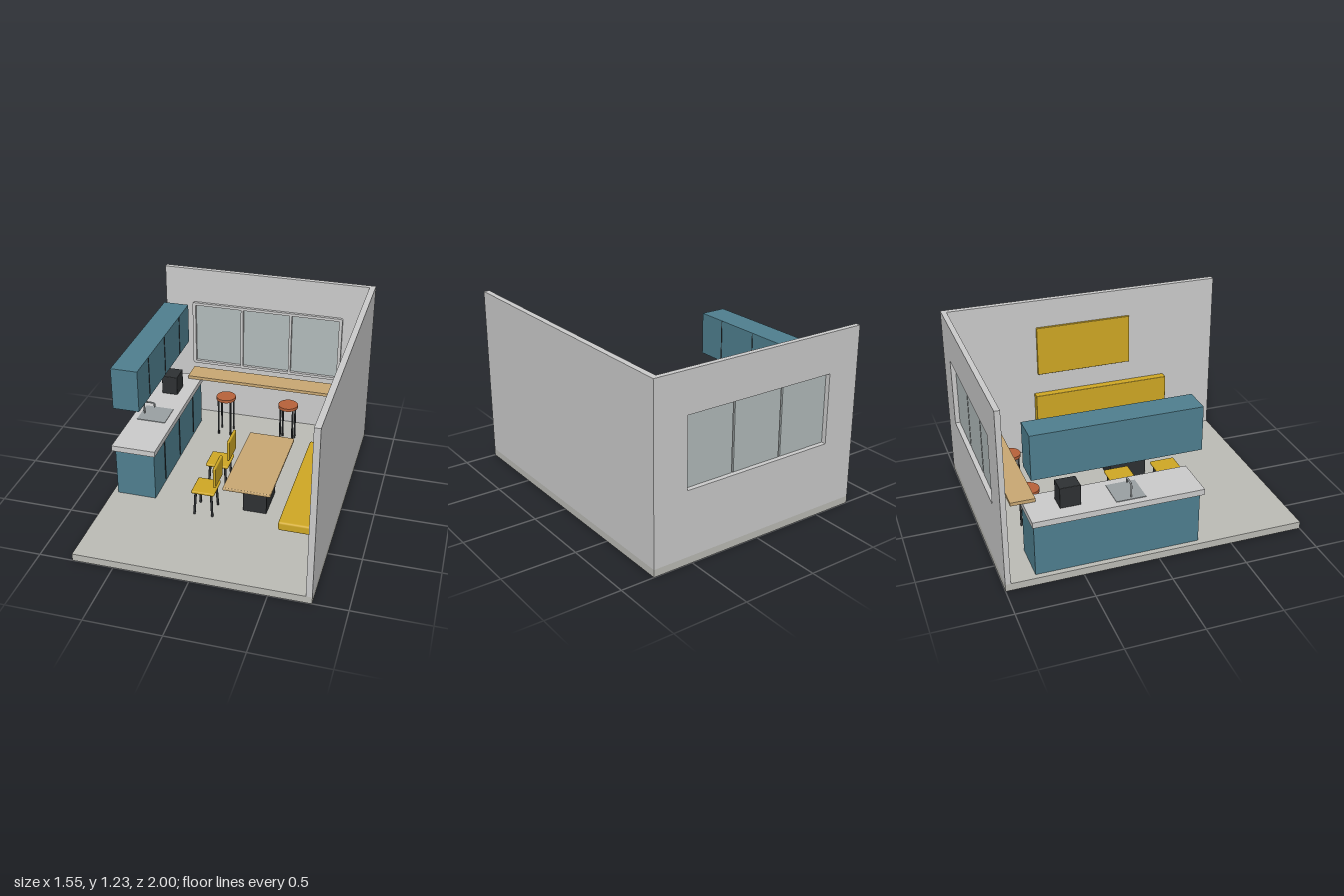
import * as THREE from 'three';
import { RoundedBoxGeometry } from 'three/addons/geometries/RoundedBoxGeometry.js';

const paint = (color) => new THREE.MeshStandardMaterial({ color });
const grey = paint(0xcccccc), floorGrey = paint(0xbcbcb6), blue = paint(0x4f7f8f);
const yellow = paint(0xcfa824), wood = paint(0xc9a873), terracotta = paint(0xb8623a);
const dark = paint(0x2e3133), steel = paint(0x9aa0a2), glassTint = paint(0xb2bbbb);

function add(parent, name, geometry, material) {
  const mesh = new THREE.Mesh(geometry, material);
  mesh.name = name;
  parent.add(mesh);
  return mesh;
}

// Box given by its limits on each axis, with optional rounded edges
function box(parent, name, material, [x0, x1], [y0, y1], [z0, z1], radius = 0) {
  const size = [x1 - x0, y1 - y0, z1 - z0];
  const geometry = radius ? new RoundedBoxGeometry(...size, 2, radius) : new THREE.BoxGeometry(...size);
  const mesh = add(parent, name, geometry, material);
  mesh.position.set((x0 + x1) / 2, (y0 + y1) / 2, (z0 + z1) / 2);
  return mesh;
}

// Round bar between two points
function rod(parent, name, material, from, to, rFrom, rTo = rFrom) {
  const a = new THREE.Vector3(...from), b = new THREE.Vector3(...to);
  const mesh = add(parent, name, new THREE.CylinderGeometry(rTo, rFrom, a.distanceTo(b), 12), material);
  mesh.position.copy(a).add(b).multiplyScalar(0.5);
  mesh.quaternion.setFromUnitVectors(new THREE.Vector3(0, 1, 0), b.sub(a).normalize());
  return mesh;
}

function group(parent, name) {
  const g = new THREE.Group();
  g.name = name;
  parent.add(g);
  return g;
}

function rect(path, x0, x1, y0, y1) {
  path.moveTo(x0, y0);
  path.lineTo(x1, y0);
  path.lineTo(x1, y1);
  path.lineTo(x0, y1);
  path.closePath();
  return path;
}

function buildRoom(root) {
  const room = group(root, 'room');
  const z = [-1, -0.965];
  box(room, 'floor', floorGrey, [-0.775, 0.775], [0, 0.05], [-1, 1]);
  box(room, 'sideWall', grey, [0.735, 0.775], [0.05, 1.23], [-1, 1]);
  box(room, 'backWallLeftPost', grey, [0.54, 0.735], [0.05, 1.23], z);
  box(room, 'backWallRightPost', grey, [-0.775, -0.543], [0.05, 1.23], z);
  box(room, 'backWallBelowWindow', grey, [-0.543, 0.54], [0.05, 0.49], z);
  box(room, 'backWallAboveWindow', grey, [-0.543, 0.54], [0.96, 1.23], z);
}

function buildWindow(root) {
  const win = group(root, 'window');
  // Frame with rounded outer corners and three openings
  const w = 0.563, y0 = 0.477, y1 = 0.975, r = 0.015;
  const shape = new THREE.Shape();
  shape.moveTo(-w + r, y0);
  shape.lineTo(w - r, y0);
  shape.quadraticCurveTo(w, y0, w, y0 + r);
  shape.lineTo(w, y1 - r);
  shape.quadraticCurveTo(w, y1, w - r, y1);
  shape.lineTo(-w + r, y1);
  shape.quadraticCurveTo(-w, y1, -w, y1 - r);
  shape.lineTo(-w, y0 + r);
  shape.quadraticCurveTo(-w, y0, -w + r, y0);
  for (const cx of [-0.366, 0, 0.366]) {
    shape.holes.push(rect(new THREE.Path(), cx - 0.174, cx + 0.174, 0.497, 0.955));
    box(win, 'glassPane', glassTint, [cx - 0.176, cx + 0.176], [0.49, 0.96], [-0.968, -0.956]);
  }
  const frame = add(win, 'windowFrame',
    new THREE.ExtrudeGeometry(shape, { depth: 0.022, bevelEnabled: false, curveSegments: 4 }), grey);
  frame.position.z = -0.956;
}

function buildKitchen(root) {
  const kitchen = group(root, 'kitchen');
  box(kitchen, 'baseCabinet', blue, [-0.738, -0.465], [0.05, 0.4], [-0.8, 0.28]);
  box(kitchen, 'wallCabinet', blue, [-0.735, -0.553], [0.72, 1.015], [-0.8, 0.28]);
  box(kitchen, 'worktop', grey, [-0.755, -0.45], [0.4, 0.44], [-0.81, 0.305]);
  // Dark joints between the cabinet doors
  for (const z of [0.065, -0.258, -0.58]) {
    box(kitchen, 'baseDoorJoint', dark, [-0.47, -0.46], [0.075, 0.378], [z - 0.003, z + 0.003]);
    box(kitchen, 'wallDoorJoint', dark, [-0.56, -0.55], [0.725, 1.01], [z - 0.003, z + 0.003]);
  }
  box(kitchen, 'sink', steel, [-0.71, -0.505], [0.436, 0.444], [-0.265, -0.07]);
  // Tap: upright, bend and short downturned spout
  const tap = new THREE.CatmullRomCurve3([
    [-0.685, 0.44], [-0.685, 0.525], [-0.675, 0.536], [-0.62, 0.536], [-0.609, 0.53], [-0.608, 0.505],
  ].map(([x, y]) => new THREE.Vector3(x, y, -0.16)), false, 'catmullrom', 0.2);
  add(kitchen, 'tap', new THREE.TubeGeometry(tap, 32, 0.006, 10), steel);
  box(kitchen, 'coffeeMachine', dark, [-0.66, -0.545], [0.44, 0.58], [-0.61, -0.475], 0.003);
}

function buildStool(root, x, z) {
  const stool = group(root, 'barStool');
  stool.position.set(x, 0, z);
  const seat = add(stool, 'stoolSeat', new THREE.CylinderGeometry(0.072, 0.072, 0.022, 32), terracotta);
  seat.position.y = 0.345;
  for (const sx of [-1, 1]) for (const sz of [-1, 1]) {
    rod(stool, 'stoolLeg', dark, [sx * 0.046, 0.05, sz * 0.046], [sx * 0.046, 0.336, sz * 0.046], 0.007);
  }
}

function buildChair(root, z) {
  const chair = group(root, 'chair');
  chair.position.set(-0.085, 0, z);
  box(chair, 'chairSeat', yellow, [-0.085, 0.072], [0.225, 0.246], [-0.087, 0.087], 0.008);
  box(chair, 'chairBack', yellow, [0.065, 0.085], [0.295, 0.447], [-0.087, 0.087], 0.008);
  for (const sx of [-1, 1]) for (const sz of [-1, 1]) {
    rod(chair, 'chairLeg', dark, [-0.007 + sx * 0.062, 0.055, sz * 0.07],
      [-0.007 + sx * 0.053, 0.228, sz * 0.06], 0.008, 0.009);
  }
}

function buildDining(root) {
  const table = group(root, 'diningTable');
  box(table, 'tableTop', wood, [0.068, 0.385], [0.346, 0.368], [-0.23, 0.48], 0.006);
  box(table, 'tablePedestal', dark, [0.148, 0.308], [0.05, 0.348], [-0.005, 0.255]);

  const bench = group(root, 'wallBench');
  box(bench, 'benchSeat', yellow, [0.468, 0.735], [0.208, 0.272], [-0.38, 0.618], 0.014);
  box(bench, 'benchBack', yellow, [0.677, 0.735], [0.21, 0.522], [-0.38, 0.618], 0.004);
  box(root, 'wallPanel', yellow, [0.716, 0.736], [0.672, 1.03], [-0.35, 0.342], 0.003);
}

export function createModel() {
  const root = new THREE.Group();
  root.name = 'kitchenDiner';
  buildRoom(root);
  buildWindow(root);
  buildKitchen(root);
  box(root, 'windowBar', wood, [-0.543, 0.537], [0.445, 0.468], [-0.89, -0.73]);
  for (const x of [-0.238, 0.235]) buildStool(root, x, -0.698);
  for (const z of [-0.023, 0.315]) buildChair(root, z);
  buildDining(root);
  return root;
}
